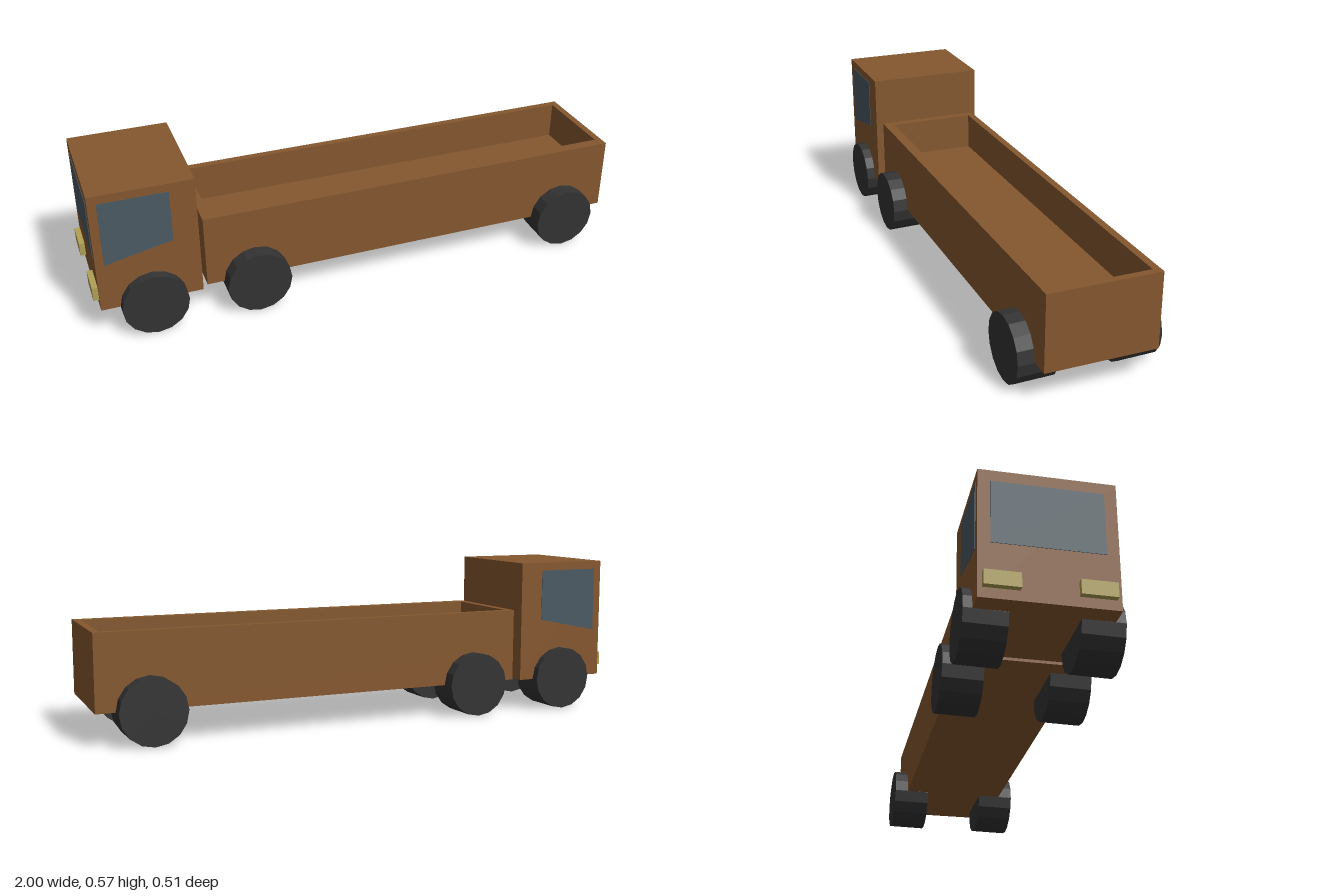
import * as THREE from 'three';

const paint = (color) => new THREE.MeshStandardMaterial({ color });
const brown = paint(0x85582f);
const glass = paint(0x4a5a63);
const rubber = paint(0x333333);
rubber.flatShading = true;
const lamp = paint(0xb0a055);

const BODY_Z = -0.002; // body sits a hair behind the wheel centreline

function add(parent, name, geometry, material, x = 0, y = 0, z = 0) {
  const mesh = new THREE.Mesh(geometry, material);
  mesh.name = name;
  mesh.position.set(x, y, z);
  parent.add(mesh);
  return mesh;
}

// Box given by its minimum and maximum corners
function addBox(parent, name, material, [x0, y0, z0], [x1, y1, z1]) {
  const geometry = new THREE.BoxGeometry(x1 - x0, y1 - y0, z1 - z0);
  return add(parent, name, geometry, material, (x0 + x1) / 2, (y0 + y1) / 2, (z0 + z1) / 2);
}

function rectangle(Type, x0, y0, x1, y1) {
  return new Type([[x0, y0], [x1, y0], [x1, y1], [x0, y1]].map(([x, y]) => new THREE.Vector2(x, y)));
}

// Cab with windscreen, tapered side windows and headlights
function createCab() {
  const cab = new THREE.Group();
  cab.name = 'cab';
  addBox(cab, 'cabBody', brown, [-0.98, 0.12, -0.22], [-0.62, 0.57, 0.22]);
  addBox(cab, 'windscreen', glass, [-0.982, 0.31, -0.18], [-0.97, 0.53, 0.18]);

  const pane = new THREE.Shape([[-0.95, 0.30], [-0.71, 0.35], [-0.71, 0.54], [-0.95, 0.54]]
    .map(([x, y]) => new THREE.Vector2(x, y)));
  const paneGeometry = new THREE.ExtrudeGeometry(pane, { depth: 0.01, bevelEnabled: false });
  add(cab, 'leftSideWindow', paneGeometry, glass, 0, 0, 0.212);
  add(cab, 'rightSideWindow', paneGeometry, glass, 0, 0, -0.222);

  for (const side of [-1, 1]) {
    const lampGeometry = new THREE.BoxGeometry(0.03, 0.05, 0.115);
    add(cab, 'headlight', lampGeometry, lamp, -0.985, 0.18, side * 0.147);
  }
  cab.position.z = BODY_Z;
  return cab;
}

// Open cargo bed: a rim of four walls standing on a thick floor
function createBed() {
  const bed = new THREE.Group();
  bed.name = 'cargoBed';
  addBox(bed, 'bedFloor', brown, [-0.6, 0.12, -0.197], [1, 0.25, 0.197]);
  const rim = rectangle(THREE.Shape, -0.6, -0.197, 1, 0.197);
  rim.holes.push(rectangle(THREE.Path, -0.57, -0.157, 0.975, 0.171));
  const walls = new THREE.ExtrudeGeometry(rim, { depth: 0.14, bevelEnabled: false });
  add(bed, 'bedWalls', walls, brown, 0, 0.25, 0).rotation.x = -Math.PI / 2;
  bed.position.z = BODY_Z;
  return bed;
}

// Three pairs of wheels, leaning very slightly to one side
function createWheels() {
  const wheels = new THREE.Group();
  wheels.name = 'wheels';
  const geometry = new THREE.CylinderGeometry(0.118, 0.118, 0.14, 16);
  geometry.rotateX(Math.PI / 2 + 0.016);
  for (const x of [-0.795, -0.42, 0.815]) {
    for (const side of [-1, 1]) add(wheels, 'wheel', geometry, rubber, x, 0.12, side * 0.181);
  }
  return wheels;
}

export function createModel() {
  const truck = new THREE.Group();
  truck.name = 'truck';
  truck.add(createCab(), createBed(), createWheels());
  return truck;
}
